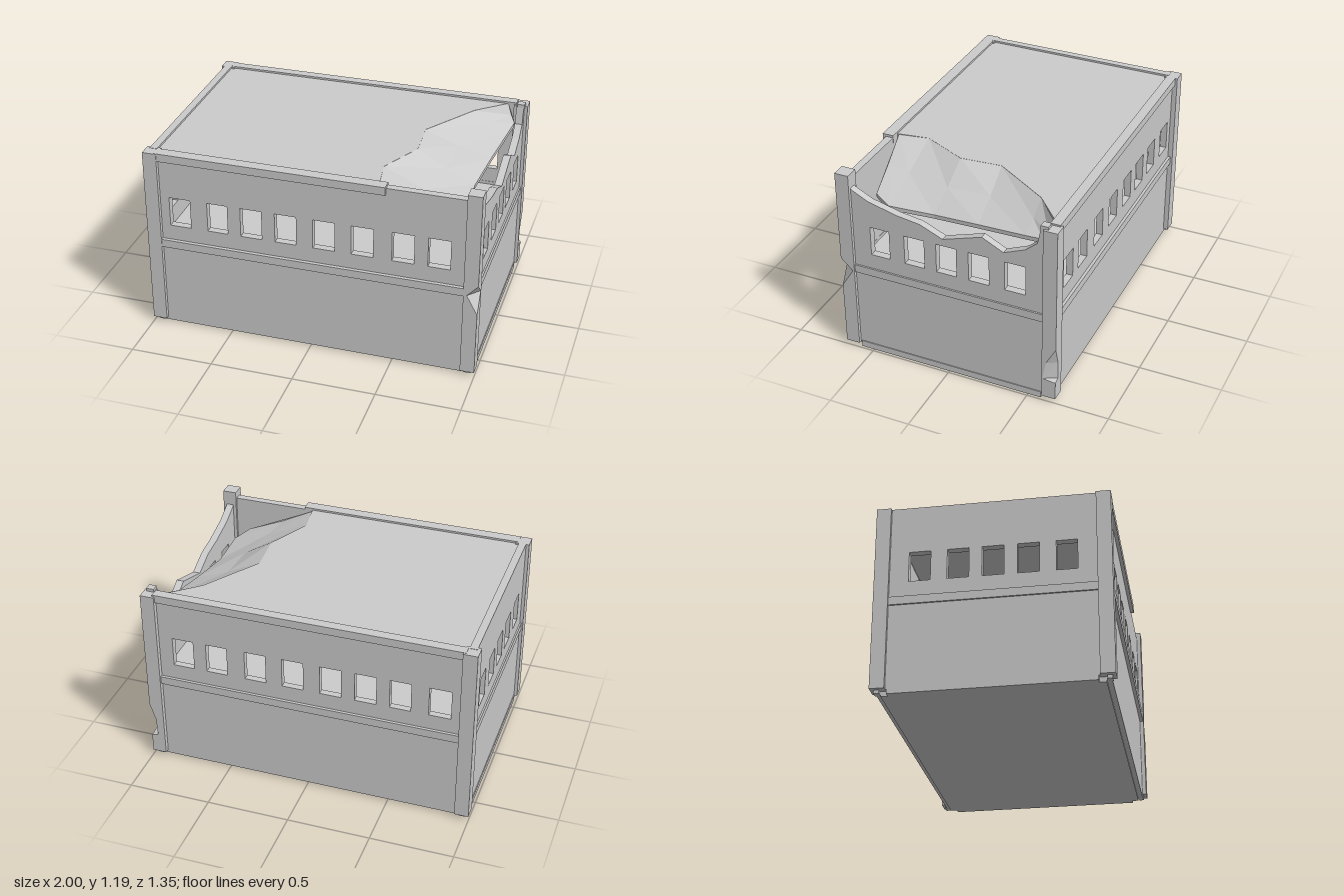
import * as THREE from 'three';

const material = new THREE.MeshStandardMaterial({ color: 0xcccccc, flatShading: true });

// Window openings: [start, end] along each wall
const longWindows = [[-0.86, -0.73], [-0.625, -0.5], [-0.42, -0.29], [-0.21, -0.08],
  [0.02, 0.15], [0.25, 0.38], [0.49, 0.62], [0.7, 0.83]];
const sideWindows = [[0.36, 0.48], [0.14, 0.265], [-0.06, 0.065], [-0.26, -0.135], [-0.48, -0.355]];

function mesh(name, geometry) {
  const m = new THREE.Mesh(geometry, material);
  m.name = name;
  return m;
}

// Box given by its limits on each axis
function box(name, [x0, x1], [y0, y1], [z0, z1]) {
  const g = new THREE.BoxGeometry(x1 - x0, y1 - y0, z1 - z0);
  g.translate((x0 + x1) / 2, (y0 + y1) / 2, (z0 + z1) / 2);
  return mesh(name, g);
}

// Extruded outline with window holes
function panel(outline, windows, depth) {
  const shape = new THREE.Shape(outline.map(p => new THREE.Vector2(...p)));
  for (const [a, b] of windows) {
    shape.holes.push(new THREE.Path([[a, 0.685], [a, 0.87], [b, 0.87], [b, 0.685]]
      .map(p => new THREE.Vector2(...p))));
  }
  return new THREE.ExtrudeGeometry(shape, { depth, bevelEnabled: false });
}

// Closed solid through a row of equal rings, turned so its faces point outwards
function loft(rings) {
  const tris = [], n = rings[0].length, last = rings.length - 1;
  for (let i = 0; i < last; i++) {
    for (let j = 0; j < n; j++) {
      const k = (j + 1) % n, a = rings[i], b = rings[i + 1];
      tris.push([a[j], a[k], b[k]], [a[j], b[k], b[j]]);
    }
  }
  for (let j = 1; j < n - 1; j++) {
    tris.push([rings[0][0], rings[0][j + 1], rings[0][j]]);
    tris.push([rings[last][0], rings[last][j], rings[last][j + 1]]);
  }
  let volume = 0;
  for (const t of tris) {
    const [a, b, c] = t.map(p => new THREE.Vector3(...p));
    volume += a.dot(b.cross(c));
  }
  if (volume < 0) tris.forEach(t => t.reverse());
  const g = new THREE.BufferGeometry();
  g.setAttribute('position', new THREE.Float32BufferAttribute(tris.flat(2), 3));
  g.computeVertexNormals();
  return g;
}

// Corner pillar; each level is [height, cut along x, cut along z] of the outer edge
function pillar(name, sx, sz, levels) {
  const x0 = 0.915, x1 = 1, z0 = 0.59, z1 = 0.675;
  return mesh(name, loft(levels.map(([y, cx = 0, cz = 0]) => [
    [x0, z0], [x1, z0], [x1, z1 - cz], [x1 - cx, z1], [x0, z1],
  ].map(([x, z]) => [sx * x, y, sz * z]))));
}

export function createModel() {
  const group = new THREE.Group();
  group.name = 'ruinedBuilding';

  // Lower storey and the floor on top of it
  group.add(box('lowerStorey', [-0.95, 0.95], [0, 0.57], [-0.62, 0.62]));

  // Long walls with their cornices and string courses
  const longOutline = [[-0.95, 0.01], [0.95, 0.01], [0.95, 1.145], [-0.95, 1.145]];
  for (const [name, z0, z1, face, end] of [['front', 0.605, 0.65, 0.672, 0.45], ['back', -0.645, -0.605, -0.662, 0.93]]) {
    const wall = mesh(name + 'Wall', panel(longOutline, longWindows, z1 - z0));
    wall.position.z = z0;
    const depth = [Math.min(face, Math.sign(face) * 0.603), Math.max(face, Math.sign(face) * 0.603)];
    group.add(wall,
      box(name + 'Cornice', [-0.93, end], [1.11, 1.16], depth),
      box(name + 'StringCourse', [-0.93, 0.93], [0.54, 0.59], depth));
  }

  // Side walls; the right one has a broken top
  const intactTop = [[0.61, 1.16], [-0.61, 1.16]];
  const brokenTop = [[0.61, 1.12], [0.58, 1.09], [0.48, 1.04], [0.3, 0.995], [0.16, 0.975], [0.02, 0.915],
    [-0.22, 0.995], [-0.35, 0.93], [-0.48, 0.985], [-0.55, 1.045], [-0.57, 1.15], [-0.61, 1.15]];
  for (const [name, s, top] of [['left', -1, intactTop], ['right', 1, brokenTop]]) {
    const g = panel([[-0.61, 0.03], [0.61, 0.03], ...top], sideWindows, 0.045);
    g.rotateY(-Math.PI / 2);
    const wall = mesh(name + 'SideWall', g);
    wall.position.x = s > 0 ? 0.98 : -0.935;
    const span = (a, b) => (s > 0 ? [a, b] : [-b, -a]);
    group.add(wall,
      box(name + 'SideStringCourse', span(0.94, 0.99), [0.54, 0.59], [-0.6, 0.6]),
      box(name + 'SideBase', span(0.94, 0.985), [0, 0.04], [-0.58, 0.58]));
  }

  // Corner pillars, two of them chipped
  group.add(
    pillar('frontLeftPillar', -1, 1, [[0.03], [1.158]]),
    pillar('backLeftPillar', -1, -1, [[0.03], [1.158]]),
    pillar('frontRightPillar', 1, 1, [[0.03], [0.43], [0.55, 0.065, 0.075], [0.62], [1.19]]),
    pillar('backRightPillar', 1, -1,
      [[0.03], [0.145], [0.155, 0.04, 0.08], [0.27, 0.035, 0.06], [0.38], [1.15]]),
    box('pillarStub', [0.94, 0.985], [1.14, 1.168], [-0.615, -0.57]));
  for (const sx of [-1, 1]) {
    for (const sz of [-1, 1]) {
      const x = sx * 0.955, z = sz * 0.64;
      group.add(box('pillarFoot', [x - 0.02, x + 0.02], [0.01, 0.04], [z - 0.015, z + 0.015]));
    }
  }

  // Remaining roof with its torn edge
  const roof = panel([[-0.94, 0.61], [0.4, 0.61], [0.37, 0.41], [0.5, 0.14], [0.48, -0.11],
    [0.7, -0.45], [0.88, -0.61], [-0.94, -0.61]], [], 0.035);
  roof.rotateX(Math.PI / 2);
  roof.translate(0, 1.148, 0);
  group.add(roof && mesh('roof', roof));

  // Collapsed roof sheet sagging to the right: [top x, z, bottom x, y, z]
  const sag = [[0.39, 0.595, 0.8, 0.98, 0.53], [0.37, 0.41, 0.86, 0.96, 0.42], [0.5, 0.14, 0.845, 0.965, 0.14],
    [0.48, -0.11, 0.875, 0.995, -0.15], [0.7, -0.45, 0.915, 1.03, -0.45], [0.88, -0.6, 0.93, 1.045, -0.56]];
  group.add(mesh('collapsedRoof', loft(sag.map(([x0, z0, x1, y1, z1]) => {
    const line = [[x0, 1.147, z0], [(x0 + x1) / 2, (1.147 + y1) / 2 - 0.01, (z0 + z1) / 2], [x1, y1, z1]];
    return [...line, ...line.map(([x, y, z]) => [x, y - 0.025, z]).reverse()];
  }))));

  return group;
}
